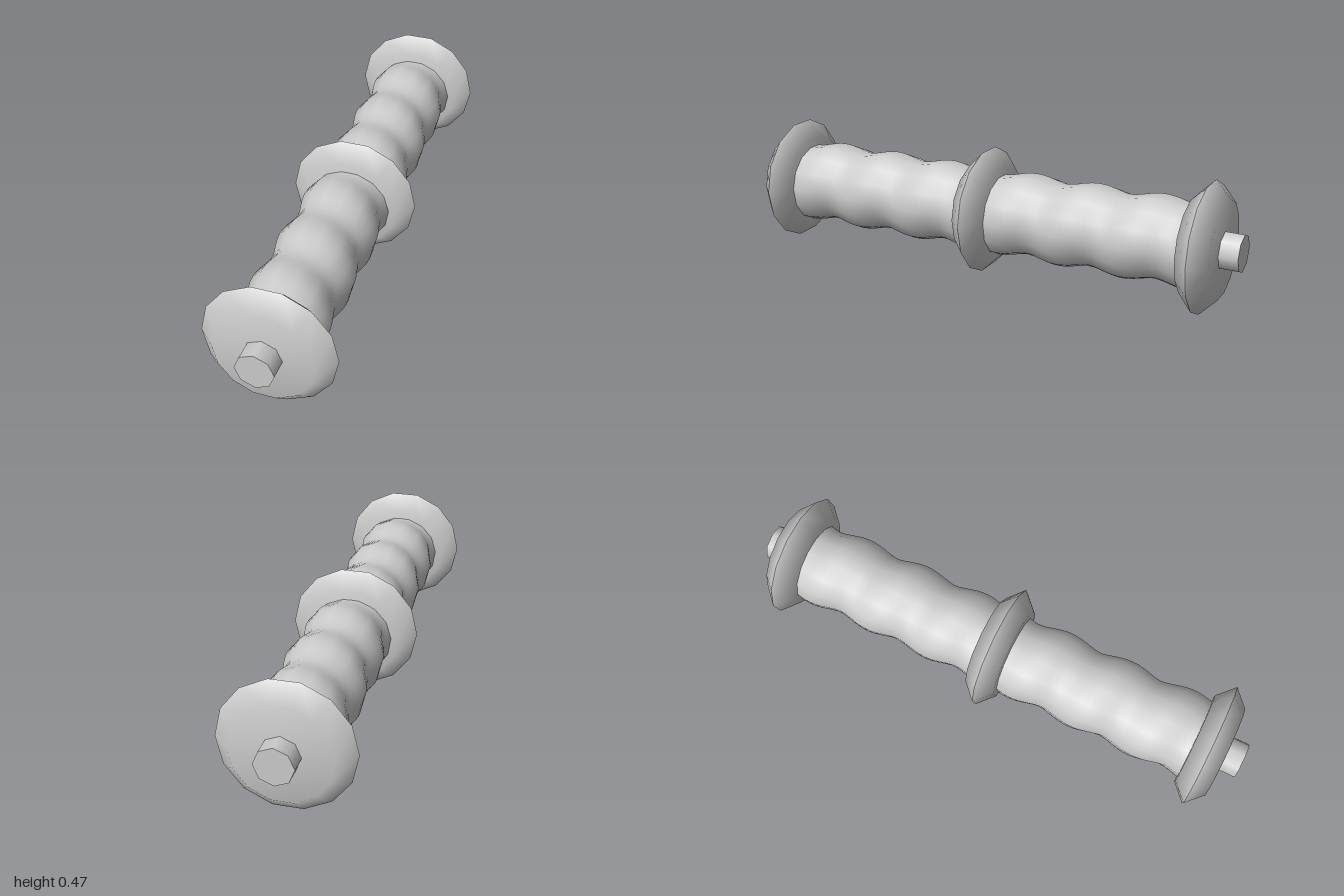
import * as THREE from 'three';
import { mergeVertices } from 'three/addons/utils/BufferGeometryUtils.js';

const SIDES = 14;
const CENTRE_Y = 0.236;
const DISC_Z = 0.87;

// One half of a bevelled disc: smooth from hub to rim, creased at the ridge
function discHalfGeometry(direction) {
  const profile = [[0.242, 0], [0.18, 0.06], [0, 0.06]].map(([r, y]) => new THREE.Vector2(r, y));
  const geometry = new THREE.LatheGeometry(profile, SIDES, Math.PI / 2);
  return geometry.rotateX(direction * Math.PI / 2);
}

// Grip with a single spiral swell running along its length
function gripGeometry() {
  const pitch = 0.253;
  const crestZ = 0.69;
  let geometry = new THREE.CylinderGeometry(0.15, 0.15, DISC_Z, SIDES, 36, true, Math.PI / 2);
  geometry.rotateX(Math.PI / 2).translate(0, 0, DISC_Z / 2);
  geometry.deleteAttribute('uv');
  geometry.deleteAttribute('normal');
  geometry = mergeVertices(geometry);
  const p = geometry.attributes.position;
  for (let i = 0; i < p.count; i++) {
    const angle = Math.atan2(p.getY(i), p.getX(i));
    const turn = angle - Math.PI / 2 + (2 * Math.PI * (p.getZ(i) - crestZ)) / pitch;
    const swell = Math.pow((1 + Math.cos(turn)) / 2, 0.75);
    const r = 0.143 + 0.022 * swell;
    p.setXY(i, r * Math.cos(angle), r * Math.sin(angle));
  }
  geometry.computeVertexNormals();
  return geometry;
}

export function createModel() {
  const model = new THREE.Group();
  model.name = 'spiralGripBar';
  const grey = new THREE.MeshStandardMaterial({ color: 0xcccccc });
  grey.name = 'lightGrey';

  const add = (name, geometry, z) => {
    const mesh = new THREE.Mesh(geometry, grey);
    mesh.name = name;
    mesh.position.set(0, CENTRE_Y, z);
    model.add(mesh);
  };

  // Three bevelled discs
  const halves = [discHalfGeometry(1), discHalfGeometry(-1)];
  for (const [name, z] of [['front', DISC_Z], ['middle', 0], ['back', -DISC_Z]]) {
    add(name + 'DiscFrontHalf', halves[0], z);
    add(name + 'DiscBackHalf', halves[1], z);
  }

  // Two identical grips between the discs
  const grip = gripGeometry();
  add('frontGrip', grip, 0);
  add('backGrip', grip, -DISC_Z);

  // Eight-sided end pegs
  const peg = new THREE.CylinderGeometry(0.07, 0.07, 0.1, 8).rotateX(Math.PI / 2);
  add('frontPeg', peg, 0.95);
  add('backPeg', peg, -0.95);

  return model;
}
